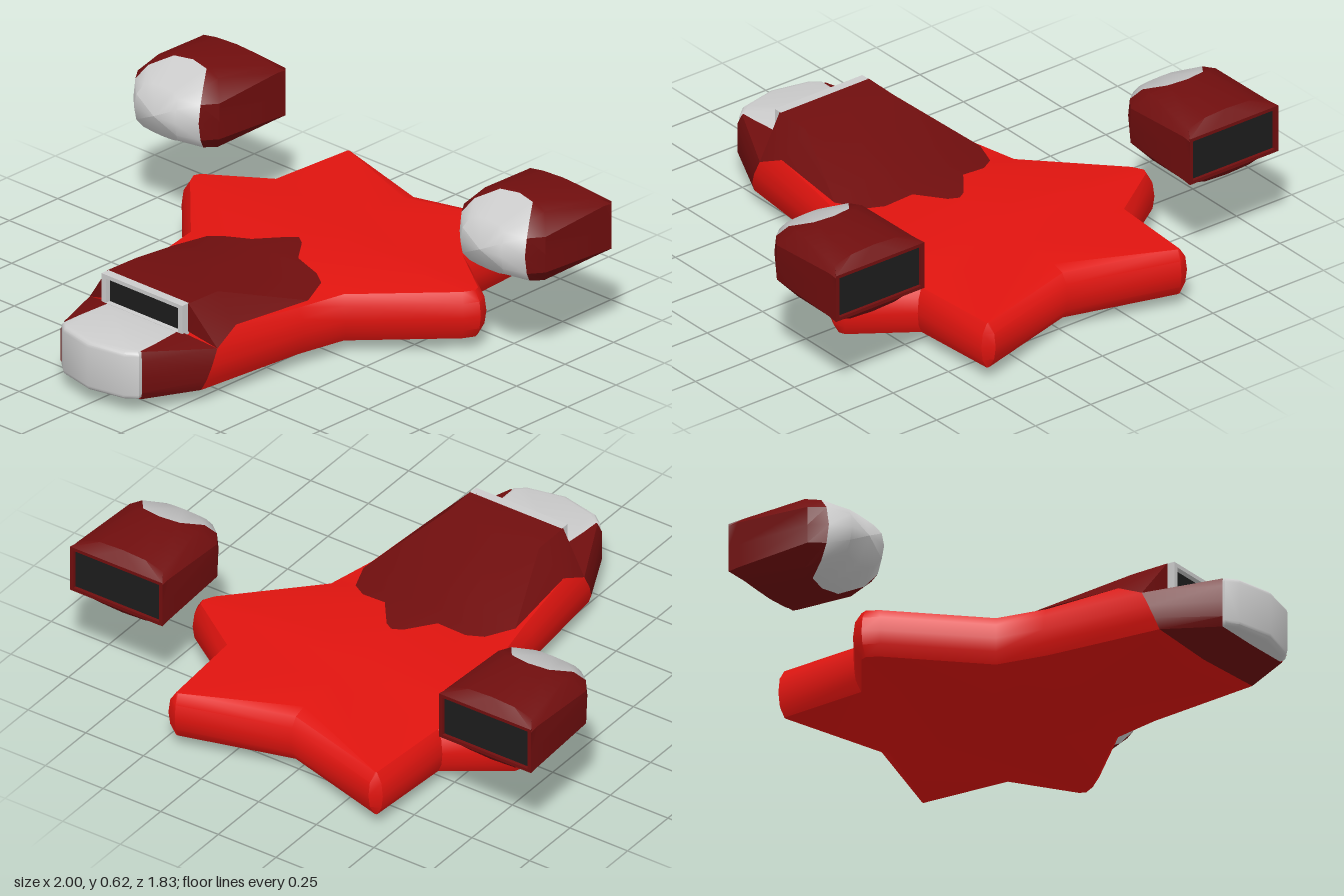
import * as THREE from 'three';
import { toCreasedNormals } from 'three/addons/utils/BufferGeometryUtils.js';

const RED = 0xe0140f, DARK = 0x700e0e, GREY = 0xcccccc, BLACK = 0x1c1c1c;

function mesh(name, color, geometry) {
  const m = new THREE.Mesh(geometry, new THREE.MeshStandardMaterial({ color, side: THREE.DoubleSide }));
  m.name = name;
  return m;
}

// Skin over columns of [x, y, z] points (rows run bottom to top on the +x side,
// columns run rear to front), mirrored across x = 0.
function shell(name, color, columns, crease = 0.6) {
  const pos = [];
  const tri = (...p) => {
    const [a, b, c] = p.map(v => new THREE.Vector3(...v));
    if (b.clone().sub(a).cross(c.clone().sub(a)).length() < 1e-7) return;
    pos.push(...p.flat());
    pos.push(...[p[0], p[2], p[1]].flatMap(([x, y, z]) => [-x, y, z]));
  };
  for (let i = 0; i < columns.length - 1; i++) {
    for (let j = 0; j < columns[0].length - 1; j++) {
      const a = columns[i][j], b = columns[i + 1][j];
      const c = columns[i + 1][j + 1], d = columns[i][j + 1];
      tri(a, d, c);
      tri(a, c, b);
    }
  }
  const g = new THREE.BufferGeometry();
  g.setAttribute('position', new THREE.Float32BufferAttribute(pos, 3));
  return mesh(name, color, toCreasedNormals(g, crease));
}

// Piecewise linear curve through [z, y] pairs in rising z
function curve(pairs, z) {
  for (let i = 1; i < pairs.length; i++) {
    const [z0, y0] = pairs[i - 1], [z1, y1] = pairs[i];
    if (z <= z1) return THREE.MathUtils.mapLinear(Math.max(z, z0), z0, z1, y0, y1);
  }
  return pairs[pairs.length - 1][1];
}

// Columns of the flat winged hull: keel, rounded rim, ridge
function hullColumns() {
  const outline = [[0, -0.8], [0.42, -0.92], [0.465, -0.895], [0.485, -0.555], [0.7, -0.41],
    [0.72, -0.36], [0.69, -0.3], [0.4, 0], [0.365, 0.18], [0.315, 0.62]];
  const rim = [[0.03, 0.06], [0.007, 0.1], [0, 0.15], [0.007, 0.205], [0.03, 0.242]];
  const keel = [[-0.75, 0.045], [-0.4, 0.005], [0.17, 0.005], [0.53, 0.055]];
  const ridge = [[-0.75, 0.255], [0, 0.295], [0.18, 0.28], [0.46, 0.262]];
  const columns = outline.map(([x, z], i) => {
    const p = outline[i - 1] ?? [-outline[1][0], outline[1][1]];
    const n = outline[i + 1] ?? [x, z];
    const out = new THREE.Vector2(n[1] - p[1], p[0] - n[0]).normalize();
    const zc = Math.max(z, -0.72);
    return [[0, curve(keel, zc), zc],
      ...rim.map(([d, y]) => [x - out.x * d, y, z - out.y * d]),
      [0, curve(ridge, zc), zc]];
  });
  // slanted front edge where the nose takes over
  columns[columns.length - 1] = [[0, 0.055, 0.62], [0.29, 0.06, 0.63], [0.308, 0.1, 0.62],
    [0.315, 0.15, 0.6], [0.313, 0.21, 0.57], [0.3, 0.262, 0.46], [0, 0.262, 0.46]];
  return columns;
}

// Engine pod: cross-sections given as quarters from the side up to the top
function pod(side) {
  const cy = 0.47;
  const ring = q => [...q.slice().reverse().map(([x, y, z]) => [x, -y, z]), ...q]
    .map(([x, y, z]) => [x, y + cy, z]);
  const rect = (w, h, z) => ring([[w, 0, z], [w, h * 0.9, z], [w, h, z], [w / 2, h, z], [0, h, z]]);
  const joint = ring([[0.16, 0, -0.335], [0.16, 0.07, -0.345], [0.135, 0.118, -0.385],
    [0.08, 0.148, -0.46], [0, 0.153, -0.475]]);
  const g = new THREE.Group();
  g.name = side > 0 ? 'leftPod' : 'rightPod';
  g.add(shell('podBody', DARK, [
    rect(0.185, 0.08, -0.715),
    rect(0.185, 0.08, -0.74),
    rect(0.2, 0.093, -0.74),
    ring([[0.2, 0, -0.7], [0.2, 0.088, -0.7], [0.175, 0.11, -0.7], [0.1, 0.13, -0.7], [0, 0.135, -0.7]]),
    ring([[0.2, 0, -0.4], [0.2, 0.07, -0.4], [0.145, 0.135, -0.45], [0.085, 0.15, -0.48], [0, 0.155, -0.49]]),
    joint]));
  g.add(shell('podNose', GREY, [
    joint,
    ring([[0.1, 0, -0.276], [0.098, 0.05, -0.285], [0.085, 0.082, -0.308],
      [0.05, 0.095, -0.32], [0, 0.098, -0.322]]),
    ring(Array(5).fill([0, 0, -0.27]))], 0.9));
  const vent = mesh('podVent', BLACK, new THREE.BoxGeometry(0.37, 0.16, 0.01));
  vent.position.set(0, cy, -0.722);
  g.add(vent);
  g.position.x = side * 0.8;
  return g;
}

export function createModel() {
  const model = new THREE.Group();
  model.name = 'spacecraft';

  const hull = hullColumns();
  const front = hull[hull.length - 1];
  model.add(shell('hull', RED, hull, 0.75));

  // Dark nose cheeks and underside
  model.add(shell('nose', DARK, [
    [...front.slice(0, 5), [0.2, 0.25, 0.62], [0, 0.245, 0.62]],
    [[0, 0.055, 0.83], [0.185, 0.058, 0.83], [0.2, 0.09, 0.84], [0.2, 0.15, 0.84],
      [0.2, 0.21, 0.84], [0.188, 0.245, 0.83], [0, 0.24, 0.83]]], 0.5));

  // Canopy tapering back to a point on the ridge
  const tip = [0, 0.288, -0.18];
  model.add(shell('canopy', DARK, [
    [tip, tip, tip],
    [[0.28, 0.262, 0], [0.1, 0.298, 0], [0, 0.3, 0]],
    [[0.33, 0.25, 0.12], [0.15, 0.3, 0.13], [0, 0.303, 0.13]],
    [front[5], [0.2, 0.357, 0.45], [0, 0.357, 0.45]],
    [front[4], [0.2, 0.36, 0.6], [0, 0.36, 0.6]],
    [front[4], [0.2, 0.25, 0.6], [0, 0.25, 0.6]]], 0.45));

  // Grey nose hood with bevelled edges
  const b = 0.02;
  const hoodShape = new THREE.Shape([[-0.17, -0.62], [-0.17, -0.835], [-0.14, -0.86], [0, -0.89],
    [0.14, -0.86], [0.17, -0.835], [0.17, -0.62]].map(p => new THREE.Vector2(...p)));
  const hoodGeo = new THREE.ExtrudeGeometry(hoodShape, {
    depth: 0.19 - 2 * b, bevelSize: b, bevelThickness: b, bevelSegments: 3 });
  hoodGeo.rotateX(-Math.PI / 2).translate(0, 0.059 + b, 0);
  model.add(mesh('noseHood', GREY, toCreasedNormals(hoodGeo, 0.6)));

  // Window frame and recessed glass
  const rectPath = (P, w, y0, y1) => new P([[-w, y0], [w, y0], [w, y1], [-w, y1]]
    .map(p => new THREE.Vector2(...p)));
  const frame = rectPath(THREE.Shape, 0.198, 0.24, 0.36);
  frame.holes.push(rectPath(THREE.Path, 0.177, 0.25, 0.345));
  const frameGeo = new THREE.ExtrudeGeometry(frame, { depth: 0.035, bevelEnabled: false });
  model.add(mesh('windowFrame', GREY, frameGeo.translate(0, 0, 0.595)));
  const glass = mesh('windowGlass', BLACK, new THREE.BoxGeometry(0.36, 0.1, 0.01));
  glass.position.set(0, 0.298, 0.604);
  model.add(glass);

  for (const side of [-1, 1]) model.add(pod(side));
  return model;
}
